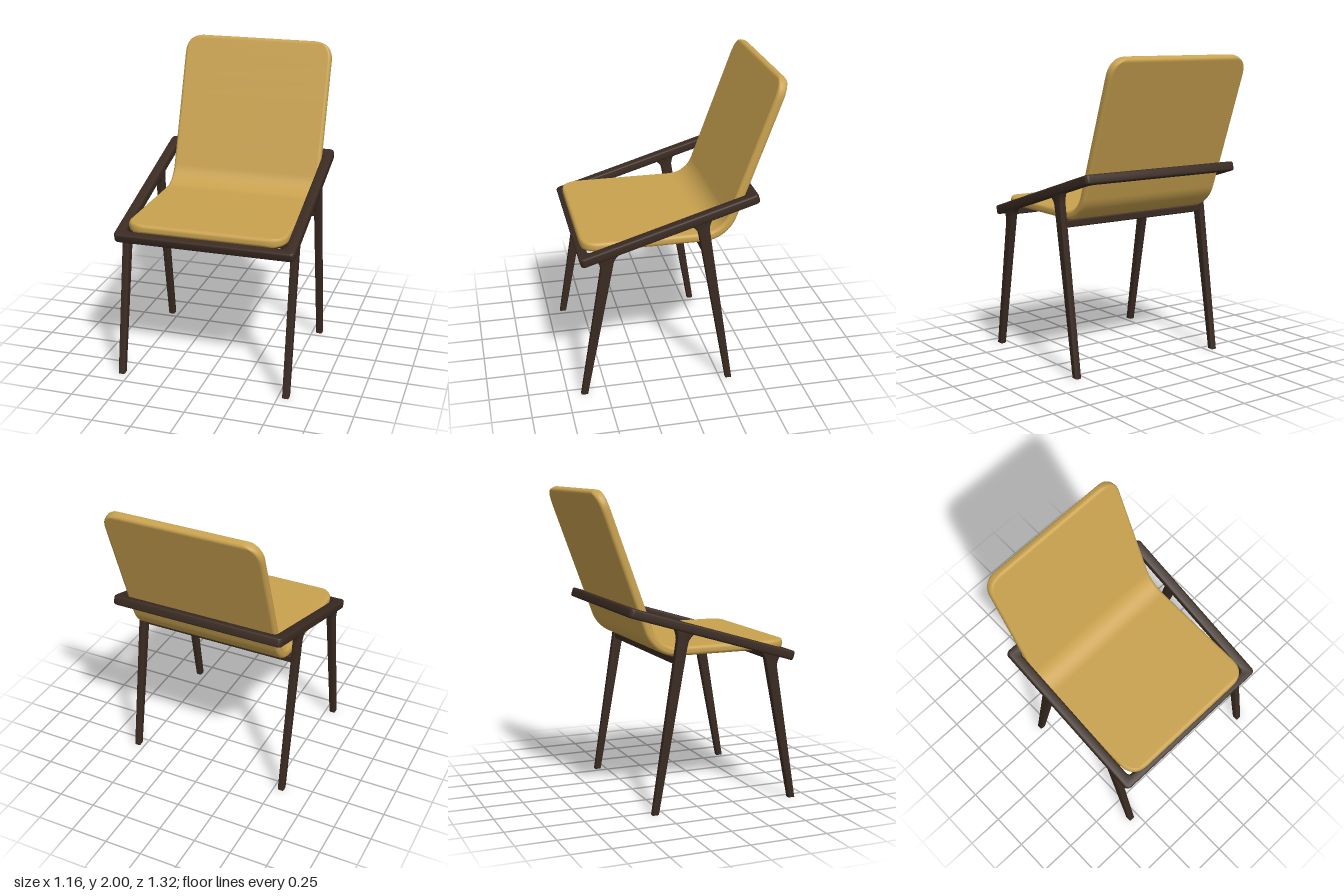
import * as THREE from 'three';
import { toCreasedNormals } from 'three/addons/utils/BufferGeometryUtils.js';
import { RoundedBoxGeometry } from 'three/addons/geometries/RoundedBoxGeometry.js';

const wood = new THREE.MeshStandardMaterial({ color: 0x3a2b22 });
wood.name = 'dark wood';
const fabric = new THREE.MeshStandardMaterial({ color: 0xc9a24f });
fabric.name = 'mustard upholstery';

const TILT = 0.294; // slope of the armrest frame

function mesh(name, geometry, material) {
  const m = new THREE.Mesh(geometry, material);
  m.name = name;
  return m;
}

// Centred extrusion with softened edges that keeps its outline
function softExtrude(shape, depth, bevel) {
  const g = new THREE.ExtrudeGeometry(shape, {
    depth: depth - 2 * bevel, bevelEnabled: true, bevelThickness: bevel,
    bevelSize: bevel, bevelOffset: -bevel, bevelSegments: 3, curveSegments: 8,
  });
  g.translate(0, 0, bevel - depth / 2);
  return toCreasedNormals(g, 0.7);
}

function roundedRect(target, hx, hy, r) {
  target.moveTo(hx, -hy + r);
  target.absarc(hx - r, hy - r, r, 0, Math.PI / 2);
  target.absarc(-hx + r, hy - r, r, Math.PI / 2, Math.PI);
  target.absarc(-hx + r, -hy + r, r, Math.PI, Math.PI * 1.5);
  target.absarc(hx - r, -hy + r, r, Math.PI * 1.5, Math.PI * 2);
  return target;
}

// Sloping frame: both arm rails with the front and back bars
function frame() {
  const shape = roundedRect(new THREE.Shape(), 0.582, 0.585, 0.03);
  shape.holes.push(roundedRect(new THREE.Path(), 0.516, 0.524, 0.03));
  const m = mesh('armFrame', softExtrude(shape, 0.06, 0.012), wood);
  m.rotation.x = Math.PI / 2 + TILT;
  m.position.set(0, 1.105, 0.085);
  return m;
}

// Tapered leg in (z, y), flaring where it meets the rail
function legGeometry(foot, front, back) {
  const s = new THREE.Shape();
  s.moveTo(foot[1], 0);
  s.lineTo(foot[0], 0);
  s.lineTo(...front[0]);
  s.quadraticCurveTo(...front[1], ...front[2]);
  s.lineTo(...back[2]);
  s.quadraticCurveTo(...back[1], ...back[0]);
  s.closePath();
  return softExtrude(s, 0.045, 0.009).rotateY(-Math.PI / 2);
}

// One-piece seat and backrest: rounded section swept along a bent centreline
function shellGeometry() {
  const HALF_W = 0.515, HALF_T = 0.029, EDGE = 0.022, CORNER = 0.135;
  const LEAN = THREE.MathUtils.degToRad(20), R = 0.2, BEND = Math.PI / 2 - LEAN;
  const zFront = 0.627, zBend = -0.136, y0 = 1.008;
  const flat = zFront - zBend, arc = R * BEND;
  const rise = 1.993 - (y0 + R * (1 - Math.cos(BEND)));
  const total = flat + arc + rise / Math.cos(LEAN);

  // Position and direction angle at distance s
  const along = (s) => {
    const a = THREE.MathUtils.clamp((s - flat) / R, 0, BEND);
    const rest = Math.max(0, s - flat - arc);
    return {
      a,
      z: zFront - Math.min(s, flat) - R * Math.sin(a) - rest * Math.cos(a),
      y: y0 + R * (1 - Math.cos(a)) + rest * Math.sin(a),
    };
  };
  // Stations, closely spaced at the rounded ends and the bend
  const ends = [];
  for (let i = 0; i <= 18; i++) ends.push(0.16 * (i / 18) ** 2.2);
  const stations = [...ends];
  for (let i = 1; i < 6; i++) stations.push(0.16 + (flat - 0.16) * i / 6);
  for (let i = 0; i <= 14; i++) stations.push(flat + arc * i / 14);
  for (let i = 1; i < 6; i++) stations.push(flat + arc + (total - 0.16 - flat - arc) * i / 6);
  for (const e of ends.slice().reverse()) stations.push(total - e);

  const inset = (d, r, p) => d >= r ? 0 : r * (1 - (1 - (1 - d / r) ** p) ** (1 / p));
  const pos = [], idx = [], Q = 5, N = 4 * (Q + 1);
  const addRing = (s, scale) => {
    const d = Math.min(s, total - s), c = along(s);
    const w = (HALF_W - inset(d, CORNER, 2.5)) * scale;
    const t = (HALF_T - inset(d, EDGE, 2)) * scale;
    const r = Math.min(EDGE * scale, t);
    for (let k = 0; k < 4; k++) {
      const sx = k === 0 || k === 3 ? 1 : -1, sn = k < 2 ? 1 : -1;
      for (let j = 0; j <= Q; j++) {
        const ang = (k + j / Q) * Math.PI / 2;
        const x = sx * (w - r) + r * Math.cos(ang);
        const n = sn * (t - r) + r * Math.sin(ang);
        pos.push(x, c.y + n * Math.cos(c.a), c.z + n * Math.sin(c.a));
      }
    }
  };
  addRing(0, 0);
  stations.forEach((s) => addRing(s, 1));
  addRing(total, 0);
  const rings = stations.length + 2;
  for (let i = 0; i < rings - 1; i++) {
    for (let j = 0; j < N; j++) {
      const a = i * N + j, b = i * N + (j + 1) % N;
      idx.push(a, a + N, b, b, a + N, b + N);
    }
  }
  const g = new THREE.BufferGeometry();
  g.setAttribute('position', new THREE.Float32BufferAttribute(pos, 3));
  g.setIndex(idx);
  g.computeVertexNormals();
  return g;
}

export function createModel() {
  const model = new THREE.Group();
  model.name = 'chair';
  model.add(mesh('seatShell', shellGeometry(), fabric), frame());

  // Legs, mirrored left and right
  const frontLeg = legGeometry([0.665, 0.623],
    [[0.522, 0.87], [0.515, 0.925], [0.56, 0.955]],
    [[0.438, 0.925], [0.425, 0.975], [0.345, 1.015]]);
  const rearLeg = legGeometry([-0.288, -0.328],
    [[-0.095, 1.06], [-0.085, 1.105], [-0.03, 1.13]],
    [[-0.163, 1.09], [-0.163, 1.14], [-0.195, 1.18]]);
  for (const [side, x] of [['left', 0.55], ['right', -0.55]]) {
    for (const [end, g] of [['Front', frontLeg], ['Rear', rearLeg]]) {
      const leg = mesh(`${side}${end}Leg`, g, wood);
      leg.position.x = x;
      model.add(leg);
    }
  }

  // Cross bars under the seat
  for (const [name, z] of [['frontStretcher', 0.465], ['rearStretcher', -0.145]]) {
    const bar = mesh(name, new RoundedBoxGeometry(1.08, 0.05, 0.055, 3, 0.01), wood);
    bar.position.set(0, 0.957, z);
    model.add(bar);
  }
  return model;
}
